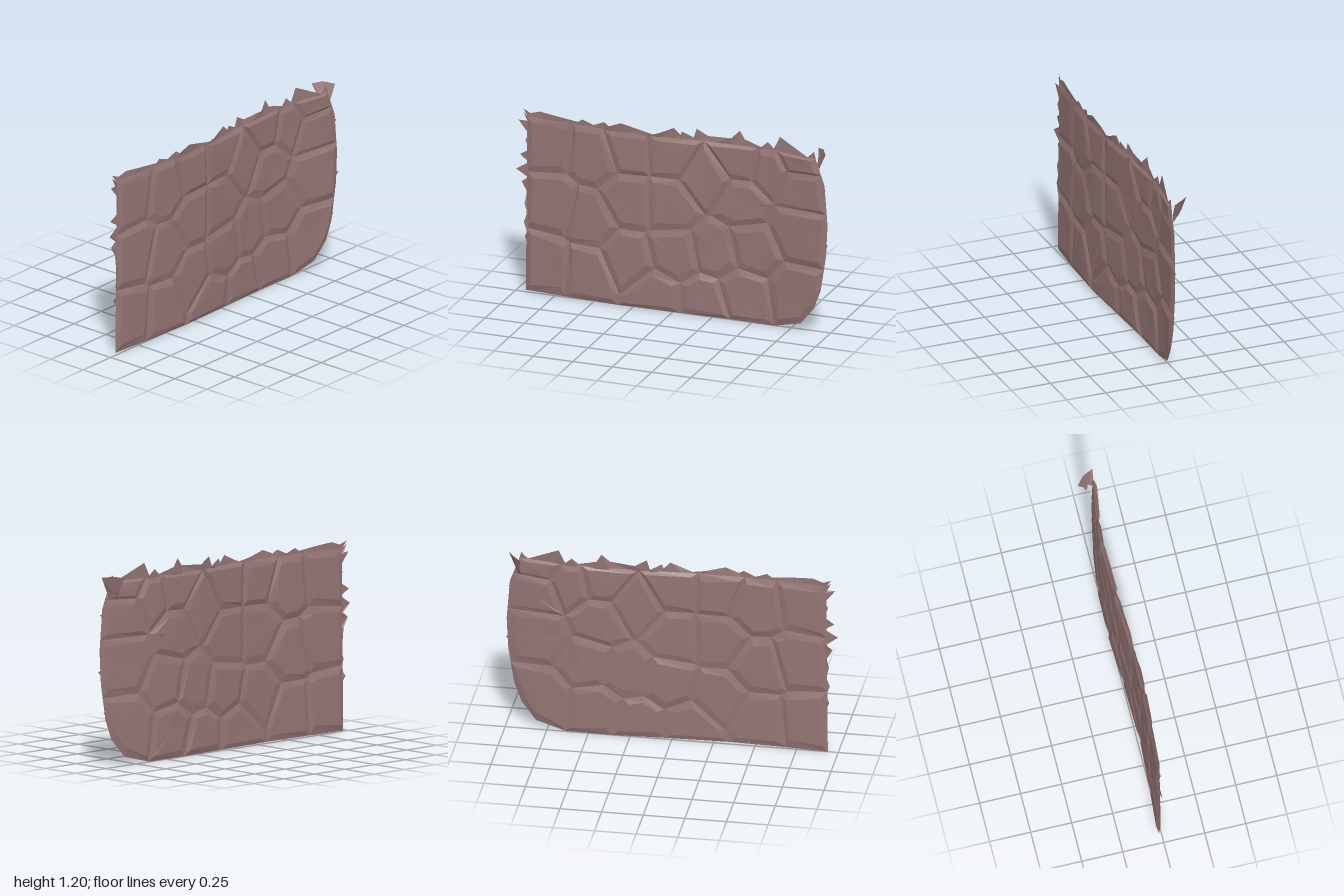
import * as THREE from 'three';

// Outline of the wall in (z, y)
const OUTLINE = [[0.94, 0.01], [-0.64, 0.003], [-0.82, 0.05], [-0.91, 0.16], [-0.955, 0.28],
  [-0.99, 0.5], [-1, 0.7], [-0.98, 0.95], [-0.92, 1.11], [0.93, 1.11]];

// Centres of the stones in (z, y)
const STONES = [[0.8, 0.97], [0.8, 0.2], [0.54, 0.18], [0.76, 0.58], [0.53, 0.52], [0.5, 0.93],
  [0.28, 1.0], [0.27, 0.68], [0.28, 0.3], [0.02, 1.01], [0.02, 0.68], [-0.02, 0.37], [0.1, 0.1],
  [-0.22, 0.87], [-0.2, 0.1], [-0.27, 0.42], [-0.42, 1.02], [-0.43, 0.76], [-0.44, 0.17],
  [-0.5, 0.47], [-0.62, 0.98], [-0.79, 1.08], [-0.8, 0.91], [-0.8, 0.62], [-0.79, 0.22]];

// Gentle bow of the wall: [z, x]
const BOW = [[-1, 0.053], [-0.9, 0.044], [-0.8, 0.024], [-0.6, 0.002], [-0.45, -0.004], [-0.2, 0.003],
  [0, 0.013], [0.2, 0.02], [0.4, 0.02], [0.6, 0.011], [1, -0.018]];

function bow(z) {
  let i = 0;
  while (i < BOW.length - 2 && z > BOW[i + 1][0]) i++;
  const [z0, x0] = BOW[i], [z1, x1] = BOW[i + 1];
  return x0 + (x1 - x0) * (z - z0) / (z1 - z0);
}

let seed = 7;
const rand = () => (seed = (seed * 16807) % 2147483647) / 2147483647;

const material = new THREE.MeshStandardMaterial({
  color: 0x957575, flatShading: true, side: THREE.DoubleSide });

function meshFrom(name, positions) {
  const geo = new THREE.BufferGeometry();
  geo.setAttribute('position', new THREE.Float32BufferAttribute(positions, 3));
  geo.computeVertexNormals();
  const mesh = new THREE.Mesh(geo, material);
  mesh.name = name;
  return mesh;
}

// Keep the part of a polygon that lies nearer to a than to b
function clip(poly, a, b) {
  const side = p => Math.hypot(p[0] - b[0], p[1] - b[1]) ** 2 - Math.hypot(p[0] - a[0], p[1] - a[1]) ** 2;
  const out = [];
  poly.forEach((p, i) => {
    const q = poly[(i + 1) % poly.length], sp = side(p), sq = side(q);
    if (sp >= 0) out.push(p);
    if (sp * sq < 0) {
      const t = sp / (sp - sq);
      out.push([p[0] + (q[0] - p[0]) * t, p[1] + (q[1] - p[1]) * t]);
    }
  });
  return out;
}

// A flat stone with bevelled edges on both faces
function stone(index) {
  let cell = OUTLINE;
  STONES.forEach((s, i) => { if (i !== index) cell = clip(cell, STONES[index], s); });
  const n = cell.length;
  const c = [0, 1].map(k => cell.reduce((sum, p) => sum + p[k], 0) / n);
  const pos = [];
  for (const face of [1, -1]) {
    const depth = 0.009 + 0.005 * rand();
    const rim = cell.map(([z, y]) => [bow(z), y, z]);
    const plateau = cell.map(([z, y]) => {
      const d = Math.hypot(c[0] - z, c[1] - y);
      const t = Math.min(0.3, (0.04 + 0.025 * rand()) / d);
      const pz = z + (c[0] - z) * t, py = y + (c[1] - y) * t;
      return [bow(pz) + face * (depth + 0.004 * (rand() - 0.5)), py, pz];
    });
    const mid = [bow(c[0]) + face * depth, c[1], c[0]];
    const tri = (p, q, r) => pos.push(...(face > 0 ? [p, q, r] : [p, r, q]).flat());
    for (let i = 0; i < n; i++) {
      const j = (i + 1) % n;
      tri(rim[i], rim[j], plateau[j]);
      tri(rim[i], plateau[j], plateau[i]);
      tri(plateau[i], plateau[j], mid);
    }
  }
  return meshFrom('stone', pos);
}

// Ragged strip standing on an edge; foot(p) gives the inner point in (z, y)
function raggedEdge(name, profile, foot) {
  const pos = [];
  const at = ([z, y], off = 0) => [bow(z) + off, y, z];
  const tips = profile.map(p => at(p, 0.02 * (rand() - 0.5)));
  const feet = profile.map(p => at(foot(p)));
  for (let i = 0; i < profile.length - 1; i++) {
    pos.push(...feet[i], ...feet[i + 1], ...tips[i + 1], ...feet[i], ...tips[i + 1], ...tips[i]);
  }
  return meshFrom(name, pos);
}

export function createModel() {
  const group = new THREE.Group();
  group.name = 'stoneWall';
  STONES.forEach((_, i) => group.add(stone(i)));

  // Broken top edge
  const top = [[0.96, 1.15], [0.91, 1.13], [0.85, 1.15], [0.74, 1.14], [0.6, 1.125], [0.57, 1.145], [0.5, 1.12],
    [0.43, 1.15], [0.4, 1.13], [0.32, 1.16], [0.2, 1.13], [0.12, 1.115], [0.08, 1.13], [-0.01, 1.17],
    [-0.05, 1.13], [-0.06, 1.155], [-0.13, 1.12], [-0.15, 1.18], [-0.22, 1.14], [-0.37, 1.15], [-0.42, 1.2],
    [-0.45, 1.15], [-0.56, 1.12], [-0.6, 1.155], [-0.64, 1.12], [-0.68, 1.2], [-0.87, 1.11], [-0.91, 1.15],
    [-0.925, 1.1]];
  group.add(raggedEdge('topEdge', top, ([z]) => [Math.min(z, 0.92), 1.09]));

  // Splintered side edge
  const side = [[0.935, 0.3], [0.95, 0.34], [0.93, 0.38], [0.95, 0.44], [0.93, 0.5], [0.945, 0.56], [0.935, 0.63],
    [0.97, 0.69], [0.93, 0.72], [1, 0.77], [0.92, 0.82], [0.98, 0.86], [0.92, 0.9], [0.94, 0.96], [0.92, 1.0],
    [0.985, 1.08], [0.93, 1.07], [0.96, 1.13]];
  group.add(raggedEdge('sideEdge', side, ([, y]) => [0.92, Math.min(y, 1.1)]));

  // Curled flap at the upper rounded corner
  const flap = [[0.048, 1.06, -0.95], [0.05, 1.14, -0.985], [0.01, 1.04, -0.93],
    [-0.015, 1.15, -0.95], [-0.025, 1.07, -0.91], [-0.06, 1.14, -0.9]];
  const pos = [];
  for (let i = 0; i < flap.length - 2; i++) {
    pos.push(...flap[i], ...flap[i + 1 + i % 2], ...flap[i + 2 - i % 2]);
  }
  pos.push(...flap[0], ...flap[2], 0.035, 1.0, -0.93, ...flap[2], ...flap[4], -0.005, 1.02, -0.9);
  group.add(meshFrom('cornerFlap', pos));

  // Small chips along the rounded edge
  for (const [z, y] of [[-0.945, 0.31], [-0.985, 0.56], [-0.97, 0.9]]) {
    const x = bow(z);
    group.add(meshFrom('edgeChip', [x, y - 0.04, z + 0.02, x + 0.008, y + 0.015, z - 0.02, x, y + 0.03, z + 0.02]));
  }
  return group;
}
